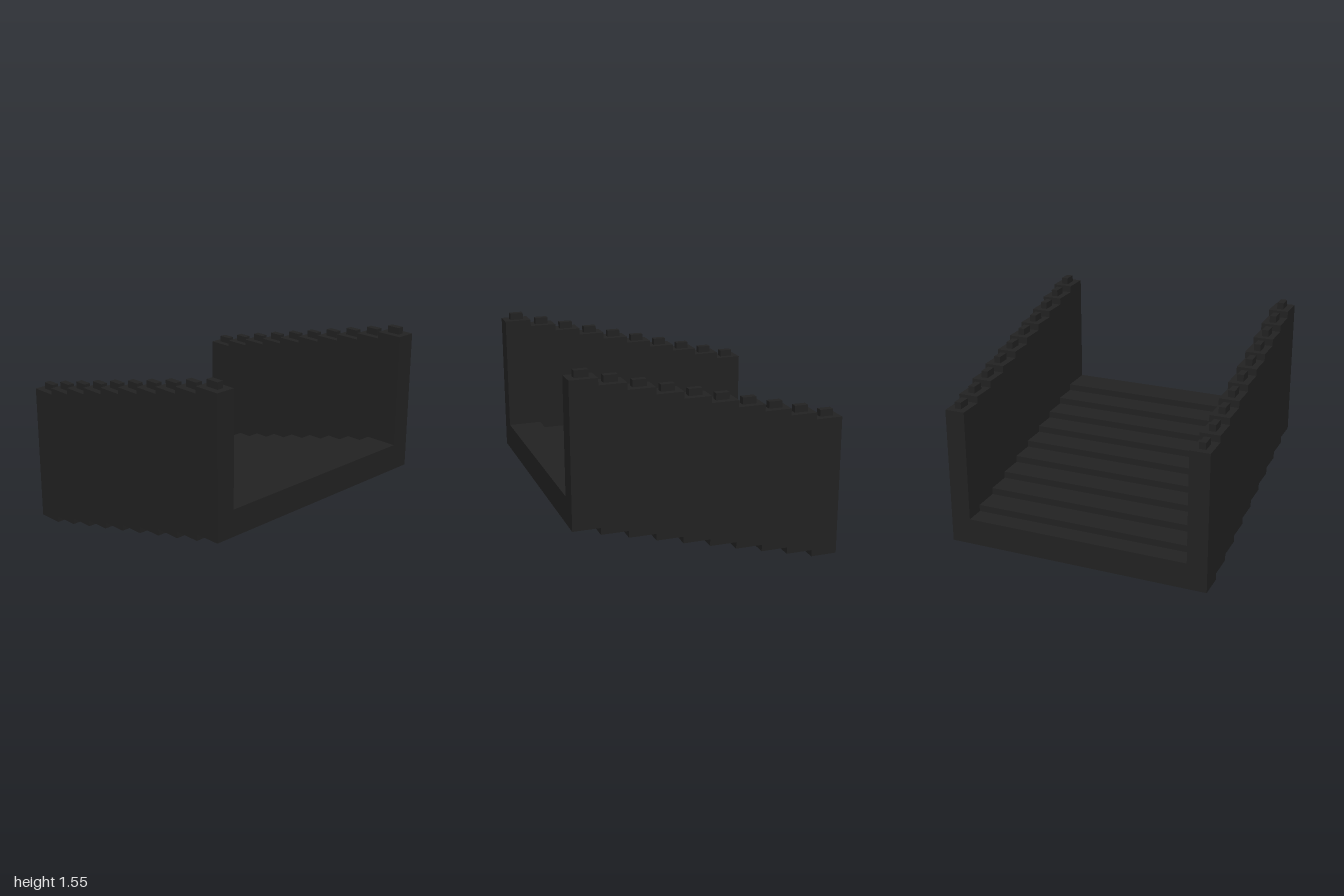
import * as THREE from 'three';

const STEPS = 10, RUN = 0.2, RISE = 0.05;
const WALL = 0.15; // side wall thickness

// Side outline with a stepped underside and a stepped top.
// shift moves the upper step edges towards the low end.
function steppedShape(topHeight, shift) {
  const pts = [];
  for (let i = 0; i < STEPS; i++) {
    const x = -1 + i * RUN, y = i * RISE;
    pts.push(new THREE.Vector2(x, y), new THREE.Vector2(x + RUN, y));
  }
  for (let i = STEPS - 1; i >= 0; i--) {
    const right = i === STEPS - 1 ? 1 : -1 + (i + 1) * RUN - shift;
    const left = i === 0 ? -1 : -1 + i * RUN - shift;
    const y = topHeight + i * RISE;
    pts.push(new THREE.Vector2(right, y), new THREE.Vector2(left, y));
  }
  return new THREE.Shape(pts);
}

function extrudeAlongZ(shape, zStart, depth) {
  const geo = new THREE.ExtrudeGeometry(shape, { depth, bevelEnabled: false });
  return geo.translate(0, 0, zStart);
}

export function createModel() {
  const model = new THREE.Group();
  model.name = 'steppedBridgeSection';
  const charcoal = new THREE.MeshStandardMaterial({ color: 0x222222 });
  charcoal.name = 'charcoal';

  const add = (parent, name, geo) => {
    const mesh = new THREE.Mesh(geo, charcoal);
    mesh.name = name;
    parent.add(mesh);
    return mesh;
  };

  // Stair floor, its nosings reaching slightly past the steps below
  add(model, 'stairFloor', extrudeAlongZ(steppedShape(0.2, 0.05), -1 + WALL, 2 - 2 * WALL));

  // Side walls, each with one stud on every step
  const wallShape = steppedShape(1.05, 0);
  const studGeo = new THREE.BoxGeometry(0.1, 0.05, 0.05);
  for (const [side, label] of [[1, 'front'], [-1, 'back']]) {
    const wall = new THREE.Group();
    wall.name = label + 'Parapet';
    add(wall, label + 'Wall', extrudeAlongZ(wallShape, side > 0 ? 1 - WALL : -1, WALL));
    for (let i = 0; i < STEPS; i++) {
      add(wall, label + 'Stud' + (i + 1), studGeo)
        .position.set(-0.9 + i * RUN, 1.075 + i * RISE, side * 0.925);
    }
    model.add(wall);
  }
  return model;
}
